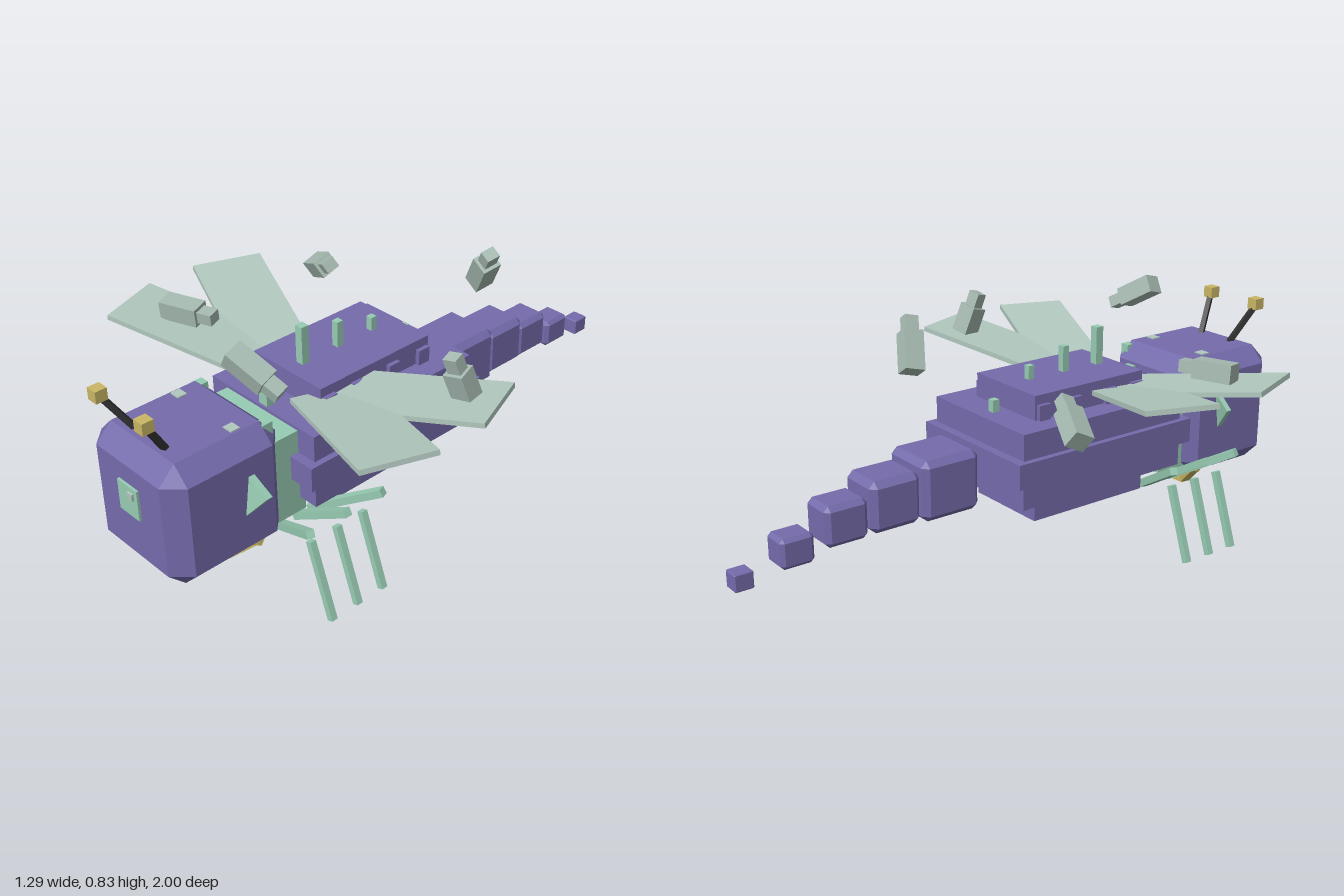
import * as THREE from 'three';
import { ConvexGeometry } from 'three/addons/geometries/ConvexGeometry.js';

const material = (name, color) => {
  const m = new THREE.MeshStandardMaterial({ color, flatShading: true });
  m.name = name;
  return m;
};

export function createModel() {
  const model = new THREE.Group();
  model.name = 'blockInsect';
  const purple = material('purple shell', 0x746bab);
  const green = material('mint green', 0x97cbb3);
  const wingGrey = material('pale wing green', 0xb1c8be);
  const stoneGrey = material('grey green', 0xa6bab1);
  const yellow = material('ochre yellow', 0xc9b665);
  const dark = material('charcoal', 0x343434);

  const add = (name, geometry, mat, parent = model) => {
    const mesh = new THREE.Mesh(geometry, mat);
    mesh.name = name;
    parent.add(mesh);
    return mesh;
  };
  // Box given by its lower and upper limits
  const block = (name, mat, x0, x1, y0, y1, z0, z1) => {
    const mesh = add(name, new THREE.BoxGeometry(x1 - x0, y1 - y0, z1 - z0), mat);
    mesh.position.set((x0 + x1) / 2, (y0 + y1) / 2, (z0 + z1) / 2);
    return mesh;
  };
  // Box with every edge cut off by c
  const chamfered = (name, mat, hx, y0, y1, z0, z1, c) => {
    const hy = (y1 - y0) / 2, hz = (z1 - z0) / 2, points = [];
    for (const sx of [-1, 1]) for (const sy of [-1, 1]) for (const sz of [-1, 1]) {
      points.push(
        new THREE.Vector3(sx * hx, sy * (hy - c), sz * (hz - c)),
        new THREE.Vector3(sx * (hx - c), sy * hy, sz * (hz - c)),
        new THREE.Vector3(sx * (hx - c), sy * (hy - c), sz * hz));
    }
    const mesh = add(name, new ConvexGeometry(points), mat);
    mesh.position.set(0, (y0 + y1) / 2, (z0 + z1) / 2);
    return mesh;
  };
  // Square bar between two points
  const bar = (name, mat, a, b, width) => {
    const from = new THREE.Vector3(...a), to = new THREE.Vector3(...b);
    const mesh = add(name, new THREE.BoxGeometry(width, width, from.distanceTo(to)), mat);
    mesh.position.copy(from).add(to).multiplyScalar(0.5);
    mesh.lookAt(to);
    return mesh;
  };

  // Head and neck
  chamfered('head', purple, 0.2, 0.18, 0.59, 0.58, 0.98, 0.055);
  block('neck', green, -0.16, 0.16, 0.22, 0.505, 0.49, 0.61);
  block('mouthPlate', green, -0.045, 0.045, 0.375, 0.475, 0.97, 0.988);
  block('mouthStud', wingGrey, 0.007, 0.03, 0.438, 0.46, 0.98, 0.995);

  // Layered thorax: half width, bottom, top, back, front
  [
    [0.15, 0.18, 0.27, -0.03, 0.42],
    [0.23, 0.27, 0.35, -0.135, 0.51],
    [0.25, 0.35, 0.43, -0.165, 0.54],
    [0.23, 0.43, 0.515, -0.135, 0.51],
    [0.15, 0.515, 0.595, -0.03, 0.41],
  ].forEach(([w, y0, y1, z0, z1]) => block('thoraxLayer', purple, -w, w, y0, y1, z0, z1));
  for (const z of [0, 0.125, 0.27, 0.38]) {
    block('thoraxTab', purple, -0.165, 0.165, 0.515, 0.565, z - 0.022, z + 0.022);
  }

  // Tapering abdomen: half width, bottom, top, back, front, chamfer
  [
    [0.1, 0.25, 0.445, -0.405, -0.2, 0.02],
    [0.08, 0.25, 0.415, -0.575, -0.4, 0.02],
    [0.062, 0.24, 0.37, -0.72, -0.575, 0.016],
    [0.047, 0.207, 0.303, -0.86, -0.75, 0.012],
    [0.028, 0.175, 0.23, -1, -0.94, 0.003],
  ].forEach((s) => chamfered('abdomenSegment', purple, ...s));

  // Spines along the back: z, top, half width
  [
    [0.485, 0.56, 0.018], [0.345, 0.72, 0.014], [0.205, 0.68, 0.012],
    [0.065, 0.64, 0.011], [-0.075, 0.555, 0.012],
  ].forEach(([z, top, w]) => block('backSpine', green, -w, w, 0.5, top, z - w, z + w));

  for (const s of [-1, 1]) {
    // Antennae
    bar('antenna', dark, [s * 0.068, 0.585, 0.895], [s * 0.105, 0.705, 0.97], 0.017);
    block('antennaTip', yellow, s * 0.106 - 0.019, s * 0.106 + 0.019, 0.7, 0.738, 0.958, 0.996);

    // Jaw
    bar('jawHinge', yellow, [s * 0.158, 0.235, 0.66], [s * 0.152, 0.19, 0.68], 0.03);
    bar('jawArm', yellow, [s * 0.155, 0.205, 0.675], [s * 0.065, 0.122, 0.71], 0.03);

    // Cheek fin
    const fin = [];
    for (const z of [-0.01, 0.01]) {
      fin.push(new THREE.Vector3(s * 0.19, 0.335, 0.735 + z), new THREE.Vector3(s * 0.265, 0.425, 0.705 + z),
        new THREE.Vector3(s * 0.19, 0.48, 0.715 + z));
    }
    add('cheekFin', new ConvexGeometry(fin), green);

    // Studs behind the head
    block('headStud', wingGrey, s * 0.12 - 0.018, s * 0.12 + 0.018, 0.555, 0.594, 0.695, 0.727);
    block('neckStud', green, s * 0.145 - 0.016, s * 0.145 + 0.016, 0.5, 0.58, 0.6, 0.635);

    // Legs
    [[0.57, 0.645, 0.605], [0.505, 0.505, 0.505], [0.45, 0.365, 0.405]].forEach(([zIn, zOut, zFoot]) => {
      bar('upperLeg', green, [s * 0.13, 0.185, zIn], [s * 0.36, 0.32, zOut], 0.025);
      bar('lowerLeg', green, [s * 0.313, 0.247, zFoot], [s * 0.398, 0.006, zFoot], 0.021);
    });

    // Crossing pair of wings
    for (const d of [-1, 1]) {
      const wing = new THREE.Group();
      wing.name = 'wing';
      wing.position.set(s * 0.115, 0.545, 0.345 + d * 0.01);
      const along = new THREE.Vector3(s * 0.49, 0.092, d * 0.185).normalize();
      const across = new THREE.Vector3(-d * s * 0.35, 0, 0.94);
      across.addScaledVector(along, -across.dot(along)).normalize();
      const normal = new THREE.Vector3().crossVectors(across, along);
      wing.quaternion.setFromRotationMatrix(new THREE.Matrix4().makeBasis(along, normal, across));
      add('wingPanel', new THREE.BoxGeometry(0.53, 0.016, 0.23), wingGrey, wing).position.x = 0.265;
      model.add(wing);
    }
  }
  block('jawFront', yellow, -0.07, 0.07, 0.107, 0.137, 0.695, 0.725);

  // Floating blocks: centre, pointing direction and roll
  [
    [[0.135, 0.765, 0.65], [0.075, -0.045, -0.025], 0.3],
    [[0.135, 0.715, -0.29], [0.05, 0.08, 0.03], 0.4],
    [[0.49, 0.65, 0.175], [-0.015, 0.085, 0.025], 0.7],
    [[-0.42, 0.65, 0.465], [0.085, 0, -0.03], 0.1],
    [[-0.43, 0.595, -0.11], [0.07, 0.035, 0.03], 0.5],
  ].forEach(([centre, direction, roll]) => {
    const drift = new THREE.Group();
    drift.name = 'floatingBlock';
    drift.position.set(...centre);
    drift.lookAt(new THREE.Vector3(...centre).add(new THREE.Vector3(...direction)));
    drift.rotateZ(roll);
    add('blockBody', new THREE.BoxGeometry(0.065, 0.06, 0.13), stoneGrey, drift);
    add('blockNose', new THREE.BoxGeometry(0.045, 0.038, 0.07), stoneGrey, drift).position.z = 0.08;
    model.add(drift);
  });

  return model;
}
